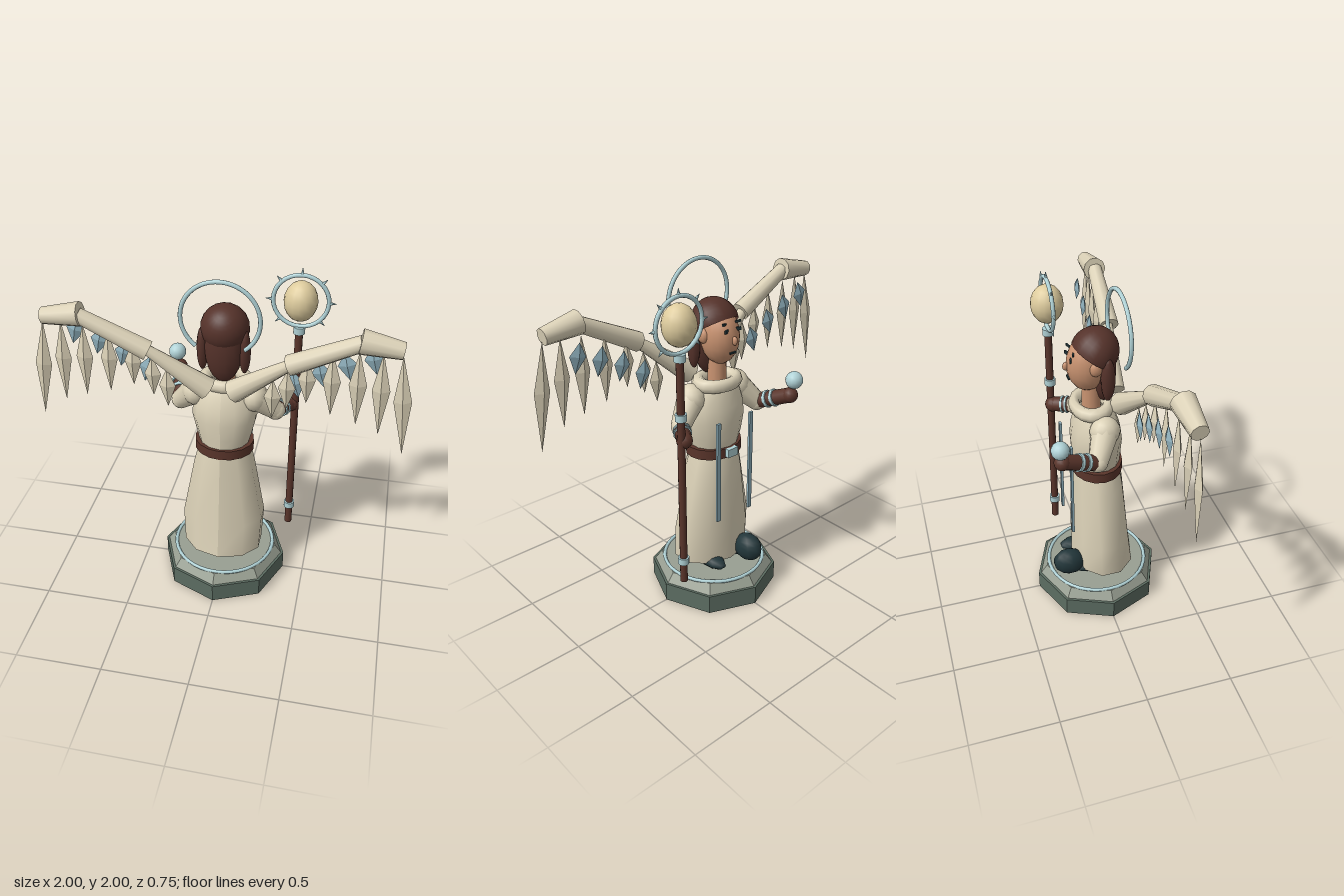
import * as THREE from 'three';

const mat = (name, color, side = THREE.FrontSide) => {
  const m = new THREE.MeshStandardMaterial({ color, side });
  m.name = name;
  return m;
};

export function createModel() {
  const root = new THREE.Group();
  root.name = 'wingedStatue';
  const cream = mat('cream', 0xdcd2b8, THREE.DoubleSide);
  const brown = mat('brown', 0x5a352b);
  const hair = mat('hairBrown', 0x55322a, THREE.DoubleSide);
  const skin = mat('skin', 0xc89270);
  const pale = mat('paleBlue', 0xb0d2d6);
  const blue = mat('featherBlue', 0x8fb0bc);
  const dark = mat('darkSlate', 0x22363a);
  const stone = mat('stoneDark', 0x5c6d62);
  const stoneTop = mat('stoneLight', 0x989f92);
  const gold = mat('paleGold', 0xdecc9e);

  // Helpers
  const V = (x, y, z) => new THREE.Vector3(x, y, z);
  const add = (name, geo, m, x = 0, y = 0, z = 0, parent = root) => {
    const mesh = new THREE.Mesh(geo, m);
    mesh.name = name;
    mesh.position.set(x, y, z);
    parent.add(mesh);
    return mesh;
  };
  const flat = (geo) => {
    const g = geo.toNonIndexed();
    g.computeVertexNormals();
    return g;
  };
  const ball = (name, m, x, y, z, rx, ry = rx, rz = rx, seg = 14) => {
    const mesh = add(name, new THREE.SphereGeometry(1, seg, 10), m, x, y, z);
    mesh.scale.set(rx, ry, rz);
    return mesh;
  };
  const cyl = (name, m, x, y, z, r1, r0, h, seg = 12) =>
    add(name, new THREE.CylinderGeometry(r1, r0, h, seg), m, x, y, z);
  const UP = V(0, 1, 0);
  const limb = (name, m, a, b, ra, rb, seg = 10) => {
    const d = b.clone().sub(a);
    const mesh = cyl(name, m, 0, 0, 0, rb, ra, d.length(), seg);
    mesh.position.copy(a).add(b).multiplyScalar(0.5);
    mesh.quaternion.setFromUnitVectors(UP, d.normalize());
    return mesh;
  };
  // Stack of elliptical sections [y, rx, rz, zCentre]
  const loft = (rows, seg) => {
    const g = new THREE.CylinderGeometry(1, 1, 1, seg, rows.length - 1, true);
    const p = g.attributes.position;
    for (let i = 0; i < p.count; i++) {
      const [y, rx, rz, cz] = rows[Math.floor(i / (seg + 1))];
      p.setXYZ(i, p.getX(i) * rx, y, p.getZ(i) * rz + cz);
    }
    g.computeVertexNormals();
    return g;
  };

  // Plinth
  add('plinthBase', flat(new THREE.CylinderGeometry(0.375, 0.375, 0.115, 8)), stone, 0, 0.0575, 0);
  add('plinthTop', flat(new THREE.CylinderGeometry(0.32, 0.36, 0.055, 8)), stoneTop, 0, 0.1425, 0);
  add('plinthRing', new THREE.TorusGeometry(0.3, 0.011, 6, 40), pale, 0, 0.17, 0).rotation.x = Math.PI / 2;

  // Shoes: one stepping forward, one planted
  ball('steppingShoe', dark, -0.1, 0.27, -0.2, 0.068, 0.085, 0.1, 10).rotation.x = 0.2;
  ball('plantedShoe', dark, 0.1, 0.215, -0.08, 0.058, 0.04, 0.13, 10);
  ball('rearSole', dark, -0.1, 0.215, -0.06, 0.058, 0.038, 0.13, 10);

  // Robe
  add('skirt', loft([[0.94, 0.145, 0.135, 0], [0.8, 0.18, 0.15, 0.005], [0.43, 0.25, 0.175, 0.015],
    [0.215, 0.24, 0.19, 0.03]], 10), cream);
  add('torso', loft([[1.35, 0.09, 0.075, -0.02], [1.29, 0.15, 0.11, -0.01], [1.2, 0.18, 0.135, -0.005],
    [1.12, 0.185, 0.145, -0.005], [1.02, 0.162, 0.14, -0.005], [0.94, 0.14, 0.13, 0]], 14), cream);
  cyl('belt', brown, 0, 0.93, 0, 0.17, 0.17, 0.06, 16).scale.z = 0.86;
  add('buckle', new THREE.BoxGeometry(0.07, 0.05, 0.03), pale, 0, 0.935, -0.153);
  const collar = add('collar', new THREE.TorusGeometry(0.115, 0.04, 8, 16), cream, 0, 1.335, -0.03);
  collar.rotation.x = Math.PI / 2;
  collar.scale.y = 0.8;
  for (const s of [-1, 1])
    add('ribbon', new THREE.BoxGeometry(0.025, 0.62, 0.014), blue, s * 0.12, 0.845, -0.178);

  // Head and face
  cyl('neck', skin, 0, 1.4, -0.03, 0.05, 0.055, 0.16);
  ball('head', skin, 0, 1.6, -0.05, 0.105, 0.158, 0.115, 18);
  const faceZ = (x, y) => -0.05 - 0.115 * Math.sqrt(1 - (x / 0.105) ** 2 - ((y - 1.6) / 0.158) ** 2);
  ball('nose', skin, 0, 1.6, -0.168, 0.014, 0.025, 0.018, 8);
  const faceBar = (name, x, y, w, h, rz) => {
    const m = add(name, new THREE.BoxGeometry(w, h, 0.009), dark, x, y, faceZ(x, y) - 0.003);
    m.rotation.set(0, x * 9, rz);
  };
  faceBar('mouth', 0, 1.53, 0.045, 0.009, 0);
  for (const s of [-1, 1]) {
    faceBar('brow', s * 0.042, 1.69, 0.05, 0.012, s * 0.15);
    faceBar('eye', s * 0.042, 1.655, 0.03, 0.018, 0);
    ball('ear', skin, s * 0.1, 1.615, -0.03, 0.025, 0.042, 0.036, 10);
  }

  // Hair
  const cap = add('hairCap', new THREE.SphereGeometry(1, 18, 10, 0, Math.PI * 2, 0, Math.PI * 0.56), hair, 0, 1.665, -0.01);
  cap.scale.set(0.132, 0.138, 0.128);
  cap.rotation.x = 0.6;
  ball('backHair', hair, 0, 1.57, 0.035, 0.105, 0.21, 0.07);
  for (const s of [-1, 1])
    ball('sideLock', hair, s * 0.115, 1.55, 0.03, 0.032, 0.13, 0.04, 10);

  // Halo, open at the bottom
  add('halo', new THREE.TorusGeometry(0.208, 0.012, 8, 48, Math.PI * 2 - 1.35), pale, 0, 1.776, 0.122)
    .rotation.z = -Math.PI / 2 + 0.675;

  // Arms: shoulder, elbow, hand
  for (const [s, elbow, hand] of [
    [1, V(0.28, 1.15, -0.05), V(0.35, 1.13, -0.165)],
    [-1, V(-0.27, 1.14, -0.07), V(-0.325, 1.23, -0.28)]]) {
    const shoulder = V(s * 0.165, 1.26, 0);
    ball('shoulder', cream, shoulder.x, shoulder.y, 0, 0.075, 0.085, 0.085);
    limb('sleeve', cream, shoulder, elbow, 0.078, 0.055);
    ball('elbow', cream, elbow.x, elbow.y, elbow.z, 0.055);
    limb('glove', brown, elbow, hand, 0.046, 0.042);
    ball('hand', brown, hand.x, hand.y, hand.z, 0.045);
    for (const t of [0.3, 0.5])
      limb('cuff', pale, elbow.clone().lerp(hand, t), elbow.clone().lerp(hand, t + 0.08), 0.051, 0.051);
  }
  ball('handOrb', pale, -0.34, 1.32, -0.292, 0.05);

  // Staff with sun head
  const sx = 0.375, sz = -0.17;
  cyl('staff', brown, sx, 0.925, sz, 0.022, 0.022, 1.37, 10);
  for (const y of [0.38, 1.275, 1.605]) cyl('staffBand', pale, sx, y, sz, 0.032, 0.032, 0.04);
  ball('staffSun', gold, sx, 1.775, sz, 0.092, 0.112, 0.092, 16);
  add('sunRing', new THREE.TorusGeometry(0.148, 0.012, 8, 32), pale, sx, 1.775, sz);
  for (let i = 0; i < 8; i++) {
    const a = i * Math.PI / 4, c = Math.cos(a), n = Math.sin(a);
    limb('sunSpike', pale, V(sx + c * 0.15, 1.775 + n * 0.15, sz), V(sx + c * 0.188, 1.775 + n * 0.188, sz), 0.011, 0.001, 6);
  }

  // Wings: three bones, long feathers and blue inner feathers
  const featherGeo = flat(new THREE.LatheGeometry(
    [new THREE.Vector2(0, -0.55), new THREE.Vector2(1, 0), new THREE.Vector2(0, 0.45)], 4));
  const feather = (name, m, a, b, w, depth) => {
    const d = a.clone().sub(b);
    const f = add(name, featherGeo, m);
    f.scale.set(w, d.length(), depth);
    f.position.copy(b).addScaledVector(d, 0.55);
    f.quaternion.setFromUnitVectors(UP, d.normalize());
  };
  for (const s of [-1, 1]) {
    limb('innerWingBone', cream, V(s * 0.07, 1.355, 0.12), V(s * 0.39, 1.6, 0.18), 0.065, 0.028);
    limb('middleWingBone', cream, V(s * 0.37, 1.59, 0.185), V(s * 0.73, 1.77, 0.205), 0.056, 0.042);
    limb('outerWingBone', cream, V(s * 0.715, 1.775, 0.2), V(s * 0.925, 1.745, 0.2), 0.066, 0.045);
    // [top x, top y, tip x, tip y]
    [[0.925, 1.72, 0.985, 1.135], [0.83, 1.72, 0.85, 1.235], [0.715, 1.71, 0.73, 1.275],
      [0.585, 1.68, 0.595, 1.31], [0.46, 1.62, 0.465, 1.36], [0.36, 1.54, 0.36, 1.3], [0.285, 1.47, 0.285, 1.23]]
      .forEach(([x0, y0, x1, y1], i) => feather('longFeather', cream,
        V(s * x0, y0, 0.205 - i * 0.01), V(s * x1, y1, 0.205 - i * 0.01), 0.046, 0.022));
    [[0.4, 1.44], [0.53, 1.52], [0.66, 1.58], [0.79, 1.63]].forEach(([x, y]) =>
      feather('blueFeather', blue, V(s * (x - 0.02), y + 0.075, 0.112), V(s * (x + 0.02), y - 0.085, 0.112), 0.05, 0.017));
  }
  return root;
}
